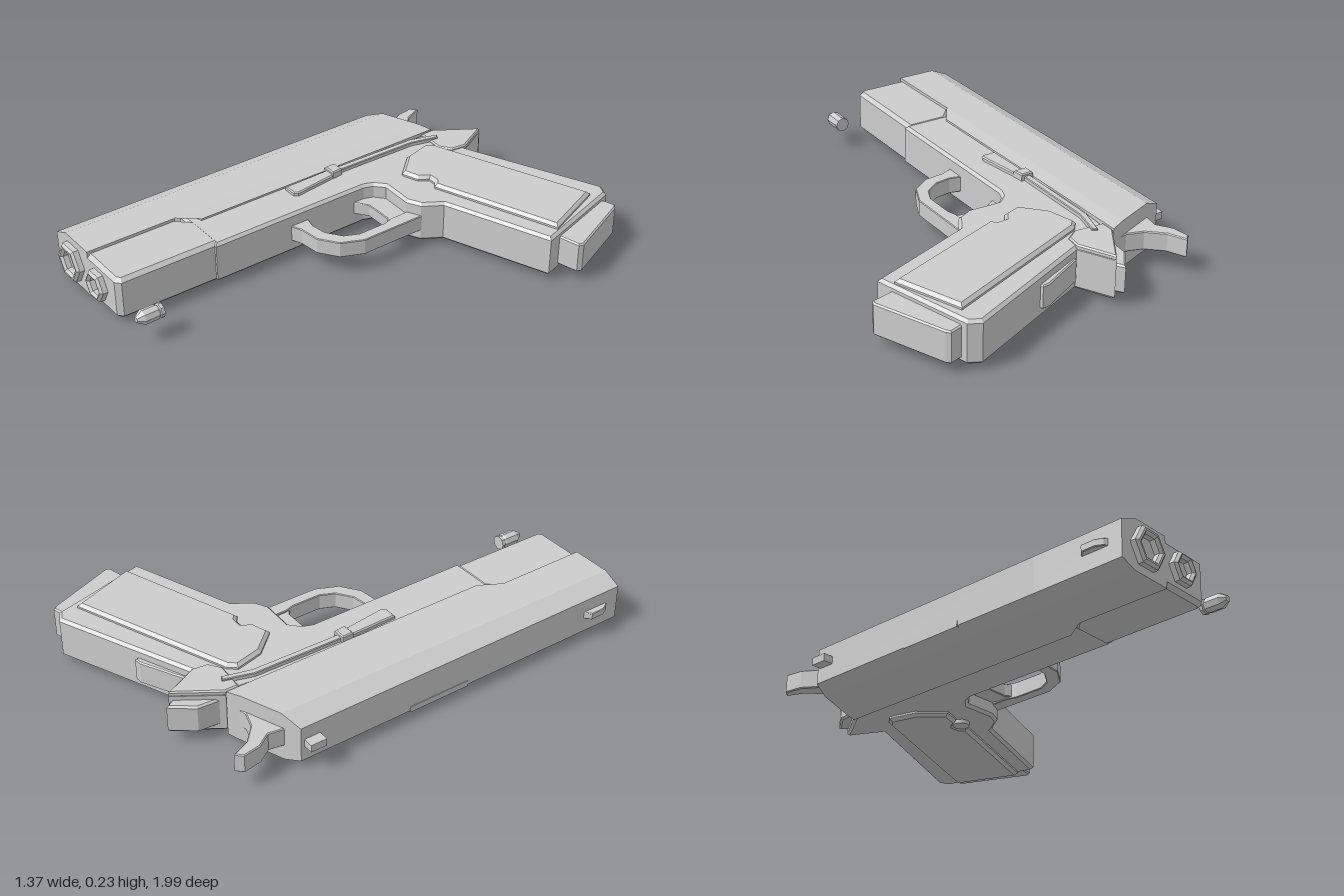
import * as THREE from 'three';

const metal = new THREE.MeshStandardMaterial({ color: 0xcccccc });
metal.name = 'light grey metal';

const shapeOf = (pts) => new THREE.Shape(pts.map(([a, b]) => new THREE.Vector2(a, b)));

export function createModel() {
  const model = new THREE.Group();

  const add = (name, geometry) => {
    const mesh = new THREE.Mesh(geometry, metal);
    mesh.name = name;
    model.add(mesh);
    return mesh;
  };

  // Chamfered slab: outline in [x, z], between heights y0 and y1
  const slab = (name, pts, y0, y1, bevel = 0.01) => {
    const g = new THREE.ExtrudeGeometry(shapeOf(pts.map(([x, z]) => [x, -z])), {
      depth: y1 - y0 - 2 * bevel, bevelEnabled: bevel > 0, bevelThickness: bevel,
      bevelSize: bevel, bevelOffset: -bevel, bevelSegments: 1,
    });
    g.rotateX(-Math.PI / 2);
    g.translate(0, y0 + bevel, 0);
    return add(name, g);
  };

  const box = (name, x0, x1, y0, y1, z0, z1) =>
    add(name, new THREE.BoxGeometry(x1 - x0, y1 - y0, z1 - z0)
      .translate((x0 + x1) / 2, (y0 + y1) / 2, (z0 + z1) / 2));

  // Slide: one cross-section run along z, with its ends slanted by a rule
  const slidePart = (name, section, z0, z1) => {
    const g = new THREE.ExtrudeGeometry(shapeOf(section), { depth: 1, bevelEnabled: false });
    const p = g.attributes.position;
    for (let i = 0; i < p.count; i++) {
      const x = p.getX(i);
      p.setZ(i, p.getZ(i) > 0.5 ? z1(x) : z0(x));
    }
    g.computeVertexNormals();
    add(name, g);
  };
  const outer = [[-0.565, 0.22], [-0.643, 0.185], [-0.643, 0.035], [-0.575, 0.01]];
  slidePart('slideRear',
    [...outer, [-0.395, 0.01], [-0.335, 0.013], [-0.335, 0.213], [-0.395, 0.22]],
    (x) => -0.6 - (x + 0.643) * 0.39,
    (x) => (x > -0.36 ? 0.47 : 0.56));
  slidePart('slideFront', [...outer, [-0.395, 0.01], [-0.395, 0.22]], () => 0.56, () => 0.96);
  box('ejectionPort', -0.646, -0.6, 0.03, 0.055, -0.1, 0.18);

  // Hexagonal muzzle rings
  const muzzle = (name, x, r, hole) => {
    const hex = (radius) => Array.from({ length: 6 }, (_, i) =>
      [radius * Math.cos(i * Math.PI / 3), radius * Math.sin(i * Math.PI / 3)]);
    const s = shapeOf(hex(r));
    s.holes.push(new THREE.Path(hex(hole).reverse().map(([a, b]) => new THREE.Vector2(a, b))));
    const g = new THREE.ExtrudeGeometry(s, {
      depth: 0.03, bevelThickness: 0.01, bevelSize: 0.01, bevelOffset: -0.01, bevelSegments: 1,
    });
    add(name, g).position.set(x, 0.115, 0.952);
  };
  muzzle('barrelMuzzle', -0.513, 0.084, 0.052);
  muzzle('guideRodMuzzle', -0.313, 0.067, 0.04);

  // Sights
  slab('frontSight', [[-0.63, 0.91], [-0.655, 0.89], [-0.67, 0.86], [-0.67, 0.8], [-0.63, 0.77]], 0.1, 0.13, 0.003);
  box('rearSight', -0.686, -0.63, 0.098, 0.13, -0.585, -0.515);

  // Frame with grip, and the nose block below the slide
  slab('frame', [
    [-0.42, 0.52], [-0.155, 0.52], [-0.155, -0.21], [-0.14, -0.25], [-0.1, -0.285], [0.04, -0.28],
    [0.1, -0.31], [0.15, -0.39], [0.605, -0.56], [0.49, -0.975], [0.44, -1.0], [-0.14, -0.75],
    [-0.215, -0.895], [-0.33, -0.72],
  ], 0.025, 0.205, 0.012);
  slab('frameNose', [
    [-0.41, 0.56], [-0.35, 0.495], [-0.165, 0.495], [-0.168, 0.94], [-0.19, 0.96], [-0.41, 0.96],
  ], 0.022, 0.208, 0.016);
  slab('tang', [[-0.32, -0.7], [-0.31, -0.83], [-0.24, -0.92], [-0.2, -0.86], [-0.16, -0.7]], 0.055, 0.175, 0.008);
  slab('backStrap', [[-0.14, -0.7], [-0.13, -0.765], [0.06, -0.86], [0.09, -0.863], [0.12, -0.75]], 0.065, 0.165, 0.005);

  // Safety plate over the tang
  slab('safetyPlate', [[-0.33, -0.72], [-0.215, -0.895], [-0.142, -0.75], [-0.15, -0.685], [-0.2, -0.65],
    [-0.33, -0.66]], 0.19, 0.214, 0.006);

  // Grip panels, one on each face
  const panel = [
    [-0.24, -0.605], [-0.21, -0.64], [0.466, -0.905], [0.572, -0.625], [0.04, -0.43],
    [0.015, -0.45], [-0.02, -0.45], [-0.045, -0.41], [-0.12, -0.385], [-0.21, -0.485],
  ];
  slab('gripPanelTop', panel, 0.18, 0.226, 0.013);
  slab('gripPanelBottom', panel, 0.004, 0.05, 0.013);
  add('releaseButton', new THREE.CylinderGeometry(0.035, 0.035, 0.14, 10).translate(0, 0.079, -0.425));

  // Magazine base
  slab('magazineBase', [[0.46, -0.9], [0.5, -0.955], [0.55, -0.97], [0.565, -0.955], [0.683, -0.665],
    [0.675, -0.645], [0.57, -0.62]], 0.047, 0.18, 0.006);

  // Trigger guard and trigger
  slab('triggerGuard', [
    [0.04, -0.32], [0.102, -0.32], [0.102, -0.02], [0.06, 0.075], [-0.02, 0.13], [-0.11, 0.14], [-0.17, 0.165],
    [-0.17, 0.07], [-0.11, 0.085], [-0.04, 0.075], [0.025, 0.03], [0.052, -0.03], [0.052, -0.16], [0.04, -0.2],
  ], 0.078, 0.148, 0.003);
  slab('trigger', [[-0.17, -0.31], [0.03, -0.31], [0.05, -0.23], [0.045, -0.18], [0.02, -0.197],
    [-0.1, -0.197], [-0.17, -0.15]], 0.085, 0.14, 0.003);

  // Hammer
  slab('hammer', [
    [-0.59, -0.852], [-0.617, -0.825], [-0.605, -0.75], [-0.565, -0.69], [-0.58, -0.6], [-0.36, -0.65],
    [-0.36, -0.705], [-0.42, -0.693], [-0.49, -0.715], [-0.555, -0.775],
  ], 0.075, 0.155, 0.004);

  // Side lever: thin rod, paddle and raised tab
  slab('leverRod', [[-0.275, -0.7], [-0.255, -0.69], [-0.286, -0.57], [-0.292, -0.18], [-0.32, -0.18],
    [-0.312, -0.58]], 0.19, 0.222, 0.003);
  slab('leverPaddle', [[-0.325, -0.18], [-0.28, -0.18], [-0.25, 0.055], [-0.262, 0.07], [-0.32, 0.07]],
    0.19, 0.222, 0.005);
  slab('leverTab', [[-0.333, -0.19], [-0.278, -0.19], [-0.273, -0.14], [-0.333, -0.14]], 0.19, 0.235, 0.005);

  // Loose cartridge in front of the guard
  const profile = [[0, 0], [0.031, 0], [0.031, 0.014], [0.026, 0.018], [0.031, 0.026], [0.031, 0.085], [0.013, 0.112], [0, 0.112]];
  const round = new THREE.LatheGeometry(profile.map(([a, b]) => new THREE.Vector2(a, b)), 8).toNonIndexed();
  round.computeVertexNormals();
  round.rotateX(Math.PI / 2);
  add('cartridge', round).position.set(-0.03, 0.113, 0.853);

  return model;
}
